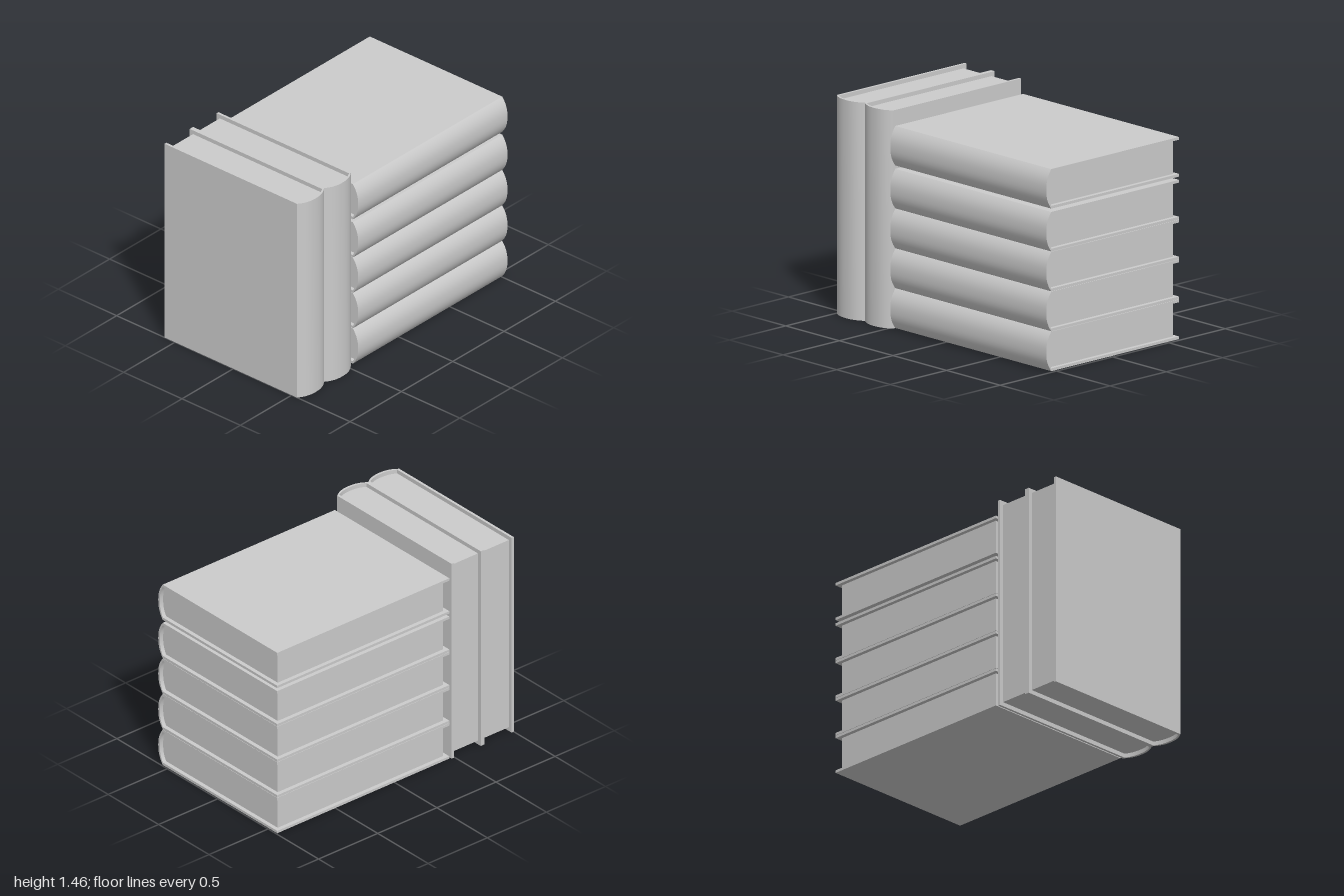
import * as THREE from 'three';
import { toCreasedNormals } from 'three/addons/utils/BufferGeometryUtils.js';

const LENGTH = 1.455, THICK = 0.264, BOARD = 0.018, DEPTH = 0.59, HINGE = 0.545;

// Rounded spine curve across a half width, bulging forward from the hinge line
function spineArc(half, bulge, steps = 18) {
  const points = [];
  for (let i = 0; i <= steps; i++) {
    const u = -Math.cos((i / steps) * Math.PI);
    points.push([u * half, HINGE + bulge * (1 - Math.abs(u) ** 2.4)]);
  }
  return points;
}

// Extrude a section given in x and z upward between two heights
function extrudeUp(section, from, to) {
  const shape = new THREE.Shape(section.map(([x, z]) => new THREE.Vector2(x, -z)));
  const geometry = new THREE.ExtrudeGeometry(shape, { depth: to - from, bevelEnabled: false });
  geometry.rotateX(-Math.PI / 2).translate(0, from, 0);
  return toCreasedNormals(geometry, 0.5);
}

export function createModel() {
  const grey = new THREE.MeshStandardMaterial({ color: 0xcccccc });
  grey.name = 'light grey';

  // Case: two boards joined by a rounded spine; pages: inset block
  const half = THICK / 2, inner = half - BOARD;
  const coverGeometry = extrudeUp([
    [-half, -DEPTH], ...spineArc(half, 0.045), [half, -DEPTH],
    [inner, -DEPTH], ...spineArc(inner, 0.029).reverse(), [-inner, -DEPTH],
  ], 0, LENGTH);
  const pagesGeometry = extrudeUp([
    [-inner, -0.562], ...spineArc(inner, 0.029), [inner, -0.562],
  ], 0.028, LENGTH - 0.028);

  function makeBook(name) {
    const book = new THREE.Group();
    book.name = name;
    const cover = new THREE.Mesh(coverGeometry, grey);
    cover.name = 'cover';
    const pages = new THREE.Mesh(pagesGeometry, grey);
    pages.name = 'pages';
    book.add(cover, pages);
    return book;
  }

  const model = new THREE.Group();
  model.name = 'books';

  // Two books standing upright
  [-0.868, -0.607].forEach((x, i) => {
    const book = makeBook(`standingBook${i + 1}`);
    book.position.x = x;
    model.add(book);
  });

  // Five books lying in a stack, spines forward
  [0.008, 0.274, 0.54, 0.806, 1.092].forEach((bottom, i) => {
    const book = makeBook(`stackedBook${i + 1}`);
    book.rotation.z = -Math.PI / 2;
    book.position.set(-0.455, bottom + half, 0);
    model.add(book);
  });

  return model;
}
